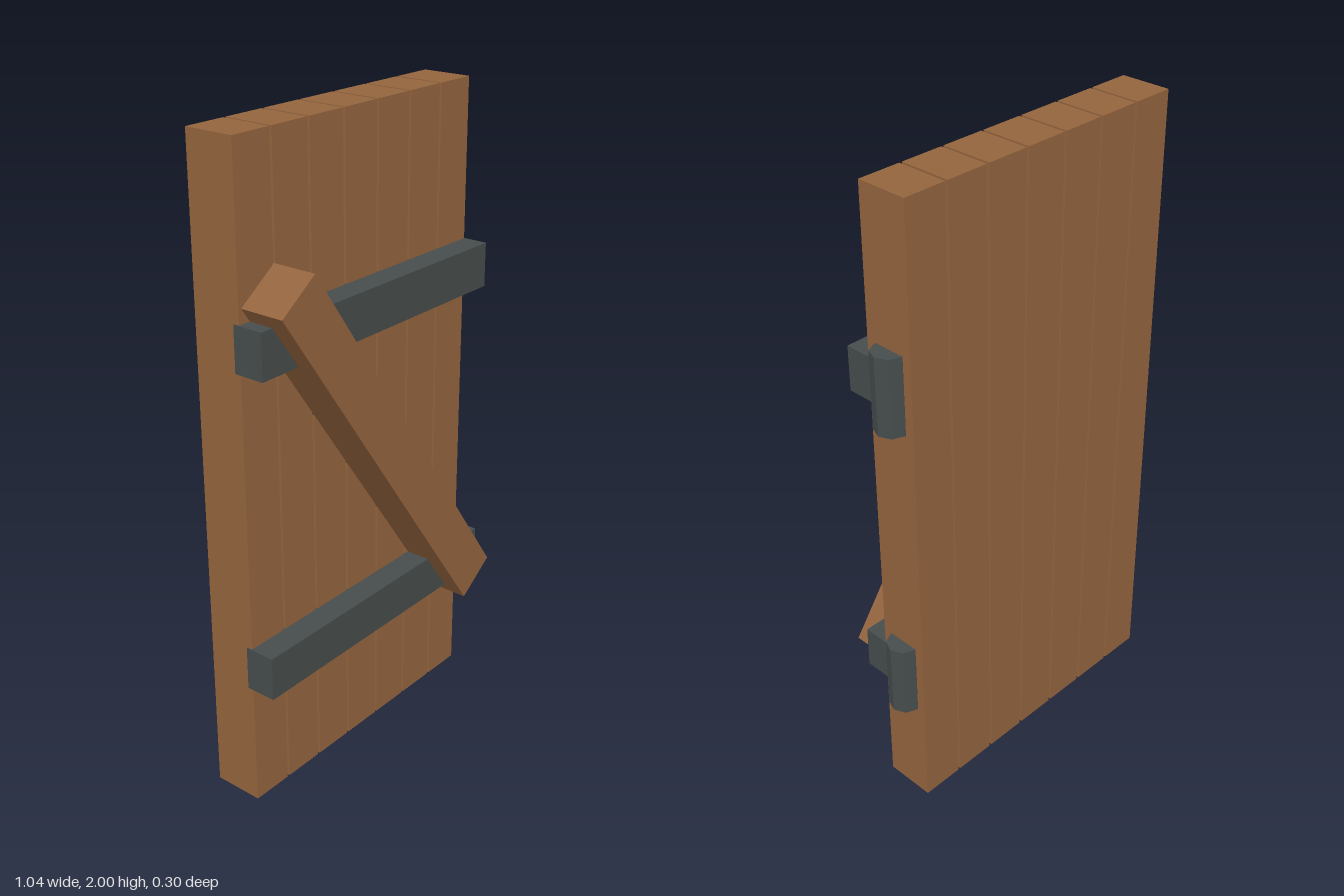
import * as THREE from 'three';

export function createModel() {
  const door = new THREE.Group();
  door.name = 'plankDoor';

  const wood = new THREE.MeshStandardMaterial({ color: 0x94643e, flatShading: true });
  wood.name = 'brown wood';
  const iron = new THREE.MeshStandardMaterial({ color: 0x464d4c, flatShading: true });
  iron.name = 'dark iron';

  const add = (name, geometry, material, x, y, z) => {
    const mesh = new THREE.Mesh(geometry, material);
    mesh.name = name;
    mesh.position.set(x, y, z);
    door.add(mesh);
    return mesh;
  };

  // Seven upright planks with narrow gaps
  const centreX = -0.026, pitch = 0.1427;
  const plank = new THREE.BoxGeometry(0.134, 2, 0.159);
  for (let i = 0; i < 7; i++) {
    add(`plank${i + 1}`, plank, wood, centreX + (i - 3) * pitch, 1, -0.0715);
  }

  // Iron straps across the front, each with an eight-sided hinge pin
  const strap = new THREE.BoxGeometry(0.995, 0.137, 0.097);
  const pin = new THREE.CylinderGeometry(0.051, 0.051, 0.238, 8);
  for (const [label, y] of [['lower', 0.463], ['upper', 1.444]]) {
    add(`${label}Strap`, strap, iron, centreX, y, 0.0385);
    add(`${label}HingePin`, pin, iron, 0.47, y, -0.072);
  }

  // Diagonal wooden brace over the straps
  const brace = add('diagonalBrace', new THREE.BoxGeometry(0.156, 1.461, 0.159), wood, -0.027, 1.003, 0.0695);
  brace.rotation.z = 0.613;

  return door;
}
